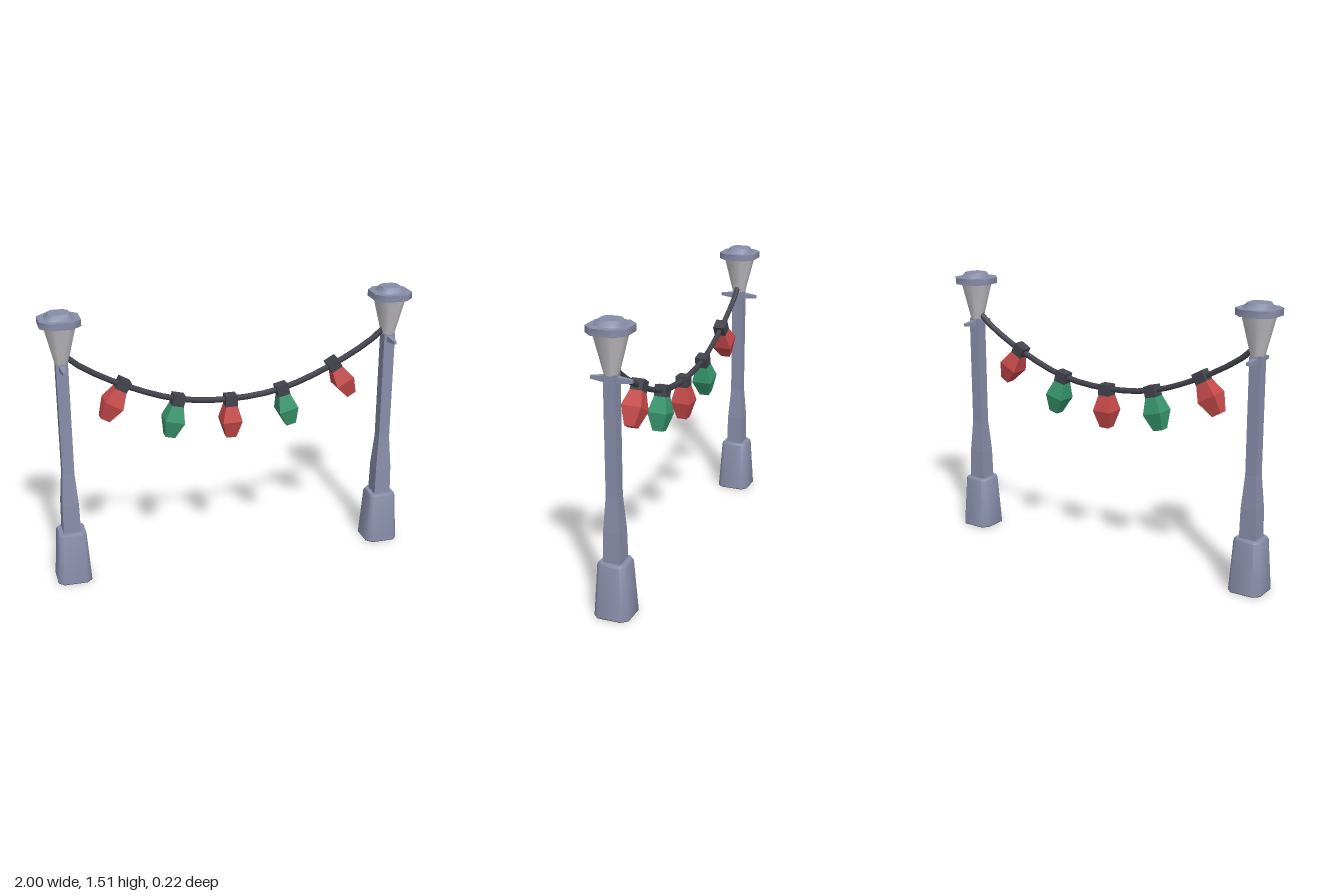
import * as THREE from 'three';
import { toCreasedNormals } from 'three/addons/utils/BufferGeometryUtils.js';

const mat = (name, color) => {
  const m = new THREE.MeshStandardMaterial({ color });
  m.name = name;
  return m;
};

// Stack of square sections [y, half width]; ratio < 1 cuts the corners into an octagon
function loft(sections, ratio = 1) {
  const ring = ([y, h]) => {
    const f = h * ratio;
    const pts = ratio === 1
      ? [[h, h], [h, -h], [-h, -h], [-h, h]]
      : [[f, h], [h, f], [h, -f], [f, -h], [-f, -h], [-h, -f], [-h, f], [-f, h]];
    return pts.map(([x, z]) => [x, y, z]);
  };
  const rings = sections.map(ring);
  const n = rings[0].length;
  const pos = [];
  const tri = (a, b, c) => pos.push(...a, ...b, ...c);
  for (let r = 0; r < rings.length - 1; r++) {
    const lo = rings[r], hi = rings[r + 1];
    for (let i = 0; i < n; i++) {
      const j = (i + 1) % n;
      tri(lo[i], lo[j], hi[j]);
      tri(lo[i], hi[j], hi[i]);
    }
  }
  const top = rings[rings.length - 1], bottom = rings[0];
  for (let i = 1; i < n - 1; i++) {
    tri(top[0], top[i], top[i + 1]);
    tri(bottom[0], bottom[i + 1], bottom[i]);
  }
  const g = new THREE.BufferGeometry();
  g.setAttribute('position', new THREE.Float32BufferAttribute(pos, 3));
  g.computeVertexNormals();
  return g;
}

// Octagonal loft whose cut corners are shaded smoothly
const smoothLoft = (sections, ratio) => toCreasedNormals(loft(sections, ratio), 0.9);

function add(parent, name, geometry, material) {
  const mesh = new THREE.Mesh(geometry, material);
  mesh.name = name;
  parent.add(mesh);
  return mesh;
}

export function createModel() {
  const model = new THREE.Group();
  model.name = 'lampPostsWithLightString';

  const iron = mat('paintedIron', 0x888da9);
  const glass = mat('lampGlass', 0xc4c2c6);
  const dark = mat('cableBlack', 0x42434c);
  const red = mat('redBulb', 0xc84a4a);
  const green = mat('greenBulb', 0x37976e);

  // Lamp posts
  const sole = loft([[0, 0.092], [0.003, 0.092]], 0.68);
  const base = smoothLoft([[0.003, 0.092], [0.28, 0.075], [0.29, 0.069]], 0.68);
  const pole = loft([[0.28, 0.047], [0.45, 0.044], [0.63, 0.031], [1.245, 0.031]]);
  const lantern = smoothLoft([[1.24, 0.033], [1.447, 0.081]], 0.45);
  const cap = smoothLoft([[1.445, 0.105], [1.48, 0.105]], 0.53);
  const finial = smoothLoft([[1.48, 0.071], [1.508, 0.052]], 0.58);
  const peg = loft([[0.02, 0.017], [0.108, 0.008]]);
  for (const side of [-1, 1]) {
    const post = new THREE.Group();
    post.name = side > 0 ? 'leftLampPost' : 'rightLampPost';
    post.position.x = side * 0.895;
    add(post, 'sole', sole, dark);
    add(post, 'base', base, iron);
    add(post, 'pole', pole, iron);
    add(post, 'lantern', lantern, glass);
    add(post, 'cap', cap, iron);
    add(post, 'finial', finial, iron);
    // Pegs sticking out to the front and back
    for (const dir of [-1, 1]) {
      const p = add(post, dir > 0 ? 'frontPeg' : 'backPeg', peg, iron);
      p.position.y = 1.217;
      p.rotation.x = dir * Math.PI / 2;
    }
    model.add(post);
  }

  // Sagging cable
  const half = [[0.88, 1.28], [0.8, 1.212], [0.583, 1.09], [0.29, 0.98]];
  const path = [
    ...half.map(([x, y]) => new THREE.Vector3(-x, y, 0)),
    new THREE.Vector3(0, 0.95, 0),
    ...half.slice().reverse().map(([x, y]) => new THREE.Vector3(x, y, 0)),
  ];
  add(model, 'cable', new THREE.TubeGeometry(new THREE.CatmullRomCurve3(path), 20, 0.016, 6), dark);

  // Bulbs hanging square to the cable
  const socket = new THREE.BoxGeometry(0.066, 0.06, 0.066);
  const bulb = loft([[-0.21, 0.027], [-0.115, 0.054], [-0.025, 0.031]]);
  const lights = [[-0.583, 1.093, -30], [-0.29, 0.977, -14], [0, 0.945, 0], [0.29, 0.977, 14], [0.583, 1.093, 30]];
  lights.forEach(([x, y, tilt], i) => {
    const light = new THREE.Group();
    light.name = 'hangingLight' + (i + 1);
    light.position.set(x, y, 0);
    light.rotation.z = THREE.MathUtils.degToRad(tilt);
    add(light, 'socket', socket, dark);
    add(light, 'bulb', bulb, i % 2 ? green : red);
    model.add(light);
  });

  return model;
}
